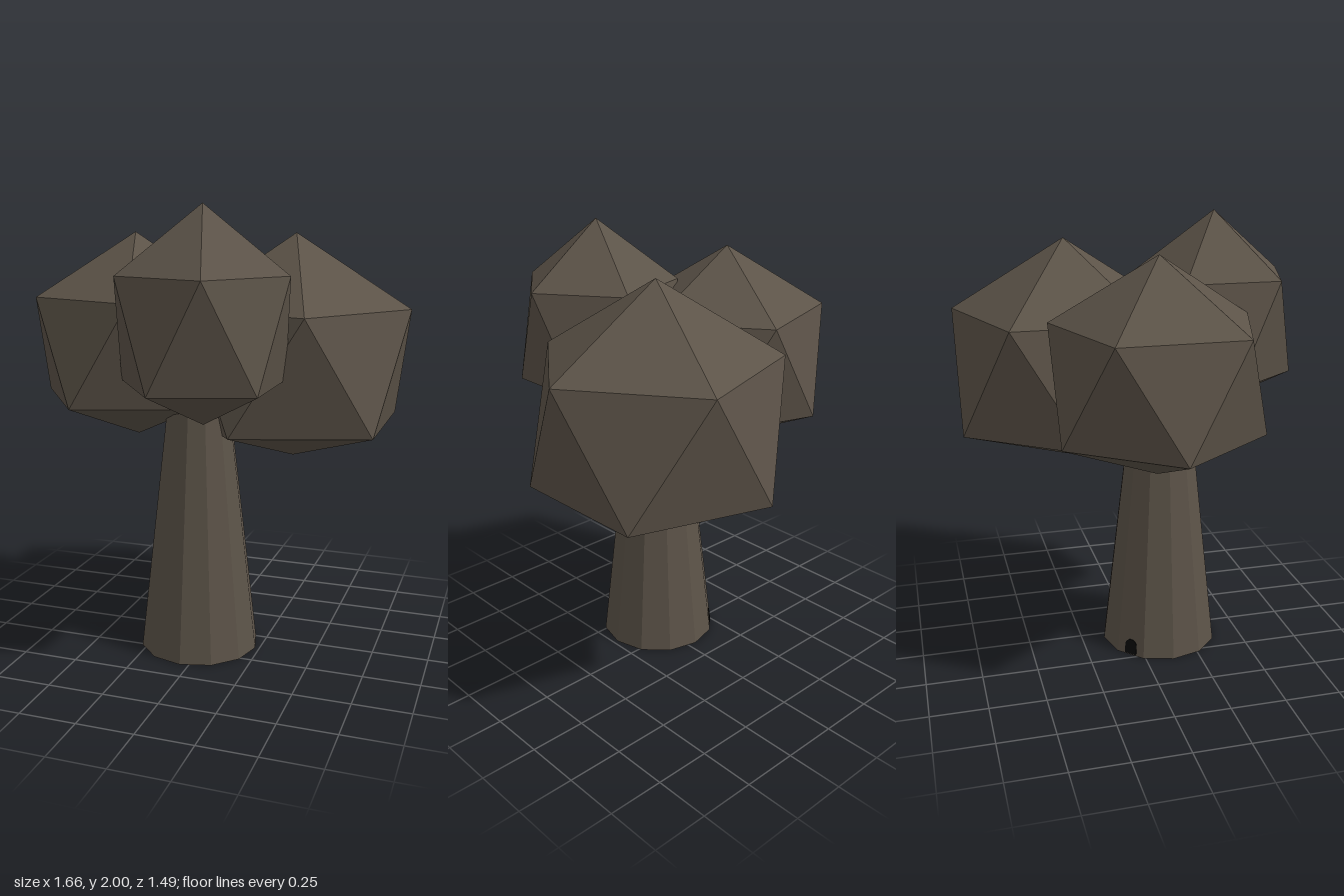
import * as THREE from 'three';

const bark = new THREE.MeshStandardMaterial({ color: 0x5c5348, flatShading: true });
const dark = new THREE.MeshStandardMaterial({ color: 0x0a0a0a });

// Twenty-sided crown: two staggered five-point rings between a top and a bottom point
function crown(name, x, z, radius, [top, upper, lower, bottom]) {
  const ring = (y, turn) => Array.from({ length: 5 }, (_, i) => {
    const a = (i + turn) * Math.PI * 2 / 5;
    return [radius * Math.cos(a), y, radius * Math.sin(a)];
  });
  const u = ring(upper, 0), l = ring(lower, 0.5);
  const apex = [0, top, 0], base = [0, bottom, 0];
  const points = [];
  for (let i = 0; i < 5; i++) {
    const j = (i + 1) % 5;
    points.push(apex, u[j], u[i]);
    points.push(u[i], u[j], l[i]);
    points.push(u[j], l[j], l[i]);
    points.push(base, l[i], l[j]);
  }
  const geometry = new THREE.BufferGeometry();
  geometry.setAttribute('position', new THREE.Float32BufferAttribute(points.flat(), 3));
  geometry.computeVertexNormals();
  const mesh = new THREE.Mesh(geometry, bark);
  mesh.name = name;
  mesh.position.set(x, 0, z);
  return mesh;
}

export function createModel() {
  const tree = new THREE.Group();
  tree.name = 'tree';

  // Tapered twelve-sided trunk, its top hidden inside the crowns
  const height = 1.25, rBase = 0.27, rTop = 0.127;
  const trunk = new THREE.Mesh(new THREE.CylinderGeometry(rTop, rBase, height, 12), bark);
  trunk.name = 'trunk';
  trunk.position.set(-0.04, height / 2, 0.125);
  tree.add(trunk);

  // Tiny arched hollow at the foot of the back facet
  const arch = new THREE.Shape();
  arch.moveTo(-0.03, 0.004);
  arch.lineTo(0.03, 0.004);
  arch.lineTo(0.03, 0.045);
  arch.absarc(0, 0.045, 0.03, 0, Math.PI, false);
  arch.closePath();
  const hollow = new THREE.Mesh(
    new THREE.ExtrudeGeometry(arch, { depth: 0.012, bevelEnabled: false, curveSegments: 6 }), dark);
  hollow.name = 'hollow';
  const apothem = rBase * Math.cos(Math.PI / 12) - 0.009;
  hollow.position.set(-0.04 - apothem * Math.SQRT1_2, 0, 0.125 - apothem * Math.SQRT1_2);
  hollow.rotation.order = 'YXZ';
  hollow.rotation.set(-Math.atan((rBase - rTop) / height), -Math.PI * 3 / 4, 0);
  tree.add(hollow);

  // Three crowns
  tree.add(
    crown('largeCrown', 0.30, -0.245, 0.53, [1.87, 1.54, 1.01, 0.835]),
    crown('sideCrown', -0.375, 0.02, 0.455, [1.875, 1.595, 1.135, 0.95]),
    crown('frontCrown', 0.075, 0.395, 0.365, [2.0, 1.72, 1.27, 1.10]),
  );
  return tree;
}
